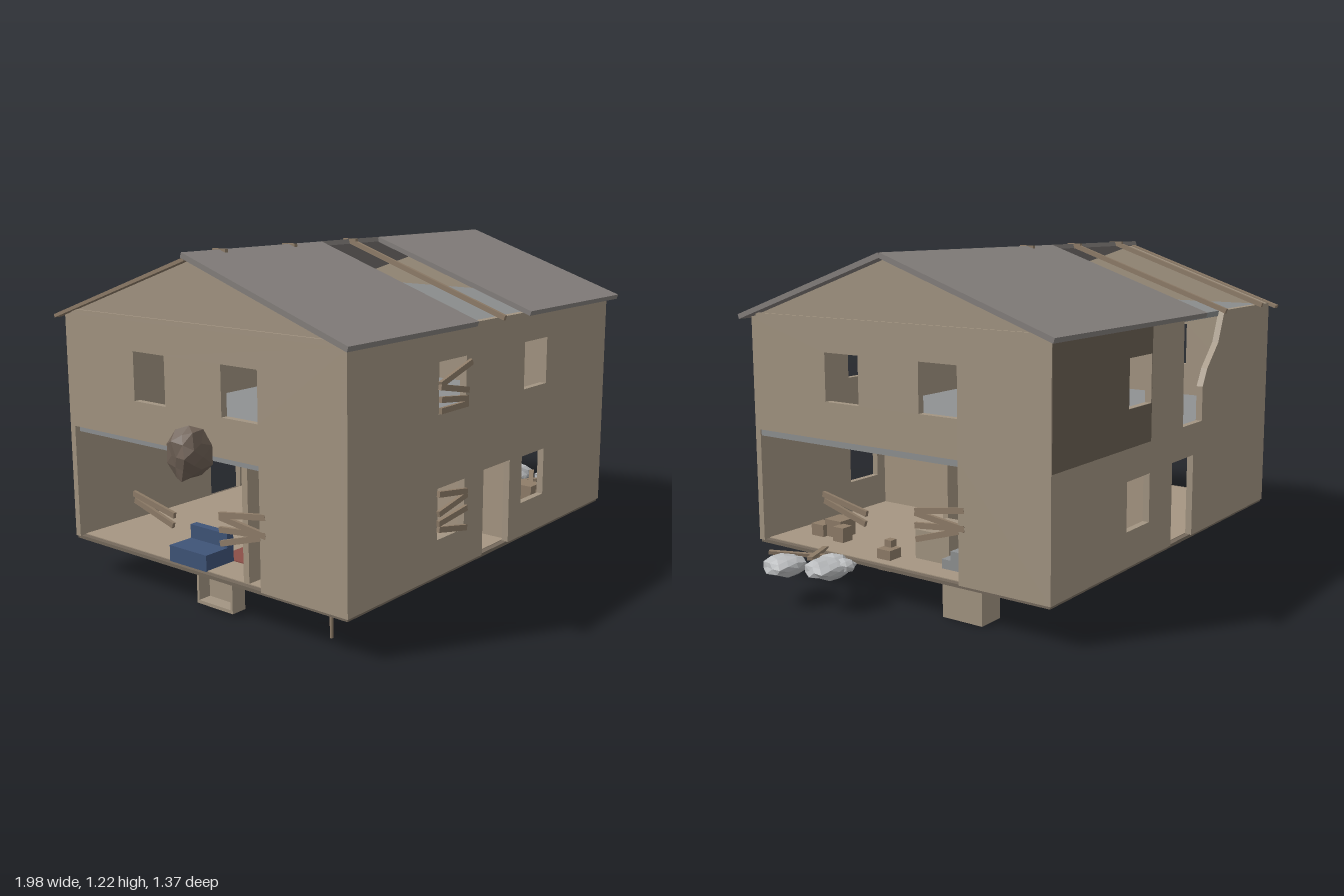
import * as THREE from 'three';

const mat = (color, extra = {}) => new THREE.MeshStandardMaterial({ color, ...extra });
const WALL = mat(0xa39582), INNER = mat(0xa69682), DARK = mat(0x6b6154), ROOF = mat(0x85807d);
const GREY = mat(0x8f9192), FLOOR = mat(0x74695c), WOOD = mat(0x8f7d69), CEIL = mat(0x8a8c8c);
const STONE = mat(0xb9bbbd, { flatShading: true }), BROWN = mat(0x6e6055, { flatShading: true });
const RED = mat(0x8c4f48), BLUE = mat(0x3f5478), YELLOW = mat(0x8f7d3a);
const SLOPE = Math.atan2(0.235, 0.68);

export function createModel() {
  const house = new THREE.Group();
  house.name = 'ruinedHouse';

  const add = (name, geo, m, parent = house) => {
    const mesh = new THREE.Mesh(geo, m);
    mesh.name = name;
    parent.add(mesh);
    return mesh;
  };
  // box given by its limits on each axis
  const box = (name, m, x0, x1, y0, y1, z0, z1, parent) => {
    const b = add(name, new THREE.BoxGeometry(x1 - x0, y1 - y0, z1 - z0), m, parent);
    b.position.set((x0 + x1) / 2, (y0 + y1) / 2, (z0 + z1) / 2);
    return b;
  };
  // flat panel with rectangular holes [x0, x1, y0, y1]
  const panel = (name, m, outline, holes, depth) => {
    const s = new THREE.Shape(outline.map(p => new THREE.Vector2(...p)));
    for (const [a, b, c, d] of holes) {
      s.holes.push(new THREE.Path([[a, c], [a, d], [b, d], [b, c]].map(p => new THREE.Vector2(...p))));
    }
    return add(name, new THREE.ExtrudeGeometry(s, { depth, bevelEnabled: false }), m);
  };

  // front wall with doorway and four windows
  const T = 0.025, top = 0.975;
  const upper = [0.695, 0.868], lower = [0.268, 0.445];
  panel('frontWall', WALL,
    [[-0.89, 0.14], [-0.14, 0.14], [-0.14, 0.45], [0.035, 0.45], [0.035, 0.14], [0.75, 0.14], [0.75, top], [-0.89, top]],
    [[-0.42, -0.26, ...upper], [0.12, 0.28, ...upper], [-0.42, -0.26, ...lower], [0.12, 0.28, ...lower]],
    T).position.z = 0.625;

  // back wall with doorway, two windows and a broken gap under the eave
  panel('backWall', WALL,
    [[-0.89, 0.14], [-0.22, 0.14], [-0.22, 0.45], [-0.05, 0.45], [-0.05, 0.14], [0.75, 0.14], [0.75, top],
      [-0.12, top], [-0.13, 0.57], [-0.285, 0.57], [-0.285, 0.7], [-0.32, 0.765], [-0.41, 0.855], [-0.46, top], [-0.89, top]],
    [[0.12, 0.28, ...upper], [0.12, 0.28, ...lower]], T).position.z = -0.65;
  panel('backDarkPatch', DARK, [[0.12, 0.56], [0.75, 0.56], [0.75, top], [0.12, top]],
    [[0.1201, 0.28, ...upper]], 0.003).position.z = -0.653;

  // gable walls, the same panel turned to either end
  for (const side of [1, -1]) {
    const g = panel(side > 0 ? 'rightGableWall' : 'leftGableWall', WALL,
      [[-0.65, 0.14], [-0.625, 0.14], [-0.625, 0.56], [0.29, 0.56], [0.29, 0.14], [0.65, 0.14], [0.65, 0.972], [0, 1.197], [-0.65, 0.972]],
      [[-0.29, -0.135, ...upper], [0.13, 0.29, ...upper]], T);
    g.rotation.y = side * Math.PI / 2;
    g.position.x = side > 0 ? 0.725 : -0.865;
    box('gableLedge', WALL, side > 0 ? 0.75 : -0.898, side > 0 ? 0.758 : -0.89, 0.98, 0.99, -0.62, 0.62);
  }

  // roof slabs; side +1 is the front slope
  const slab = (name, m, x0, x1, side, thick, lift) => {
    const r = add(name, new THREE.BoxGeometry(x1 - x0, thick, 0.72), m);
    r.position.set((x0 + x1) / 2, 1.1 + lift, side * 0.34);
    r.rotation.x = side * SLOPE;
  };
  slab('frontRoofLeft', ROOF, -0.925, -0.24, 1, 0.018, -0.008);
  slab('frontRoofRight', ROOF, 0.1, 0.785, 1, 0.018, -0.008);
  slab('backRoof', ROOF, -0.24, 0.785, -1, 0.018, -0.008);
  // bare rafters across the gaps
  for (const [x, side, w] of [[-0.75, -1, 0.014], [-0.41, -1, 0.014], [-0.07, 1, 0.014]]) {
    slab('rafter', WOOD, x - w / 2, x + w / 2, side, 0.018, -0.006);
    box('rafterEnd', WOOD, x - w / 2, x + w / 2, 1.2, 1.22, -0.03, 0.03);
  }
  slab('bargeBoard', WOOD, -0.915, -0.885, -1, 0.012, -0.022);

  // floors and ceiling
  box('groundFloor', FLOOR, -0.885, 0.745, 0.13, 0.142, -0.645, 0.645);
  box('groundFloorCover', INNER, -0.865, 0.725, 0.142, 0.145, -0.625, 0.625);
  const upperFloor = panel('upperFloor', GREY,
    [[-0.87, -0.63], [0.745, -0.63], [0.745, 0.63], [-0.87, 0.63]], [[0.45, 0.66, 0.2, 0.6]], 0.024);
  upperFloor.rotation.x = -Math.PI / 2;
  upperFloor.position.y = 0.537;
  box('atticFloor', CEIL, -0.87, 0.73, 0.952, 0.972, -0.627, 0.627);
  box('atticFloorPatch', INNER, -0.74, -0.42, 0.972, 0.976, -0.2, -0.02);

  // inner walls
  box('roomWall', INNER, -0.865, 0.2, 0.145, 0.537, 0.19, 0.215);
  const cross = panel('crossWall', INNER,
    [[-0.625, 0.145], [0.05, 0.145], [0.05, 0.43], [0.2, 0.43], [0.2, 0.145], [0.625, 0.145], [0.625, 0.537], [-0.625, 0.537]], [], T);
  cross.rotation.y = Math.PI / 2;
  cross.position.x = 0.05;

  // staircase rising towards the back
  const steps = 12;
  for (let i = 0; i < steps; i++) {
    const z = -0.14 - i * 0.038, y = 0.145 + (i + 1) * 0.0335;
    box('stairStep', GREY, 0.46, 0.65, Math.max(0.145, y - 0.07), y, z - 0.038, z);
  }

  // loose boards over the windows and side openings
  const board = (parent, x, y, len, tilt) => {
    const b = add('board', new THREE.BoxGeometry(len, 0.02, 0.012), WOOD, parent);
    b.position.set(x, y, 0);
    b.rotation.z = tilt;
  };
  const boardSet = (name, list, z, turn = 0, x = 0) => {
    const g = new THREE.Group();
    g.name = name;
    list.forEach(b => board(g, ...b));
    g.position.set(x, 0, z);
    g.rotation.y = turn;
    house.add(g);
  };
  boardSet('upperWindowBoards', [[-0.33, 0.82, 0.19, 0.28], [-0.34, 0.77, 0.17, -0.2], [-0.34, 0.735, 0.16, -0.12], [-0.34, 0.707, 0.16, 0]], 0.656);
  boardSet('lowerWindowBoards', [[-0.34, 0.415, 0.17, -0.15], [-0.34, 0.375, 0.17, 0.18], [-0.34, 0.335, 0.17, 0.1], [-0.34, 0.29, 0.17, -0.2]], 0.656);
  const openingBoards = [[-0.215, 0.34, 0.21, -0.2], [-0.215, 0.31, 0.2, -0.28], [0.21, 0.38, 0.21, 0.15],
    [0.21, 0.345, 0.21, -0.12], [0.21, 0.325, 0.21, 0.1], [0.2, 0.295, 0.19, 0.3]];
  boardSet('rightOpeningBoards', openingBoards, 0, Math.PI / 2, 0.745);
  boardSet('leftOpeningBoards', openingBoards, 0, -Math.PI / 2, -0.885);

  // furniture and crates, some sunk through the floor
  box('rug', RED, -0.74, -0.34, 0.145, 0.149, -0.05, 0.18);
  box('lowTable', WOOD, -0.45, -0.37, 0.12, 0.19, 0.05, 0.13);
  box('blueSeat', BLUE, -0.87, -0.74, 0.122, 0.2, -0.16, 0.02);
  box('blueSeatBack', BLUE, -0.77, -0.74, 0.2, 0.25, -0.16, 0.02);
  box('yellowSeat', YELLOW, -0.86, -0.73, 0.122, 0.19, 0.3, 0.55);
  box('yellowSeatBack', YELLOW, -0.76, -0.73, 0.19, 0.24, 0.3, 0.55);
  box('yellowSeatLeg', WOOD, -0.85, -0.84, 0.04, 0.13, 0.545, 0.552);
  box('sunkenCrate', WALL, 0.61, 0.71, 0, 0.135, -0.355, -0.19);
  box('smallPost', WALL, 0.62, 0.7, 0.04, 0.14, 0.36, 0.4);
  box('cabinet', WALL, 0.43, 0.61, 0.125, 0.25, -0.14, 0.01);
  for (const [x, z, s, h] of [[0.66, 0.09, 0.06, 0.18], [0.64, 0.1, 0.03, 0.205], [0.58, 0.49, 0.06, 0.19], [0.55, 0.43, 0.08, 0.21], [0.6, 0.37, 0.05, 0.2]]) {
    box('smallCrate', WOOD, x - s / 2, x + s / 2, z < 0.2 ? 0.105 : 0.145, h, z - s / 2, z + s / 2);
  }
  // open shelf hanging below the floor
  box('shelfBottom', WALL, -0.85, -0.79, 0.01, 0.022, -0.05, 0.12);
  box('shelfTop', WALL, -0.85, -0.79, 0.112, 0.13, -0.05, 0.12);
  box('shelfBack', WALL, -0.8, -0.79, 0.022, 0.112, -0.05, 0.12);
  for (const z of [-0.05, 0.11]) box('shelfSide', WALL, -0.85, -0.79, 0.022, 0.112, z, z + 0.01);

  // rough stones, pushed in and out by a hash of each corner
  const rock = (name, m, x, y, z, rx, ry, rz, detail = 1) => {
    const geo = new THREE.IcosahedronGeometry(1, detail);
    const p = geo.attributes.position, v = new THREE.Vector3();
    for (let i = 0; i < p.count; i++) {
      v.fromBufferAttribute(p, i);
      const h = Math.sin(Math.round(v.x * 50) * 1.7 + Math.round(v.y * 50) * 2.3 + Math.round(v.z * 50) * 3.1 + x * 40 + z * 25);
      v.multiplyScalar(0.92 + 0.14 * h);
      p.setXYZ(i, v.x * rx, v.y * ry, v.z * rz);
    }
    geo.computeVertexNormals();
    add(name, geo, m).position.set(x, y, z);
  };
  rock('boulder', BROWN, -0.93, 0.565, 0.02, 0.073, 0.1, 0.08);
  for (const [x, y, z, r] of [[0.88, 0.145, 0.18, 0.075], [0.92, 0.14, 0.34, 0.075], [0.81, 0.145, 0.22, 0.06], [0.87, 0.135, 0.39, 0.055], [0.83, 0.15, 0.15, 0.05]]) {
    rock('rubble', STONE, x, y, z, r, r * 0.5, r);
  }
  for (const [x, z, r] of [[-0.24, 0.06, 0.06], [-0.17, 0.1, 0.06], [-0.2, 0.03, 0.045]]) {
    rock('floorRubble', STONE, x, 0.14, z, r, r * 0.4, r);
  }
  // fallen planks by the rubble
  for (const [x, z, a] of [[0.84, 0.36, -0.9], [0.79, 0.31, 0.5]]) {
    const b = add('fallenPlank', new THREE.BoxGeometry(0.2, 0.012, 0.02), WOOD);
    b.position.set(x, 0.155, z);
    b.rotation.set(0, a, 0.1);
  }
  return house;
}
